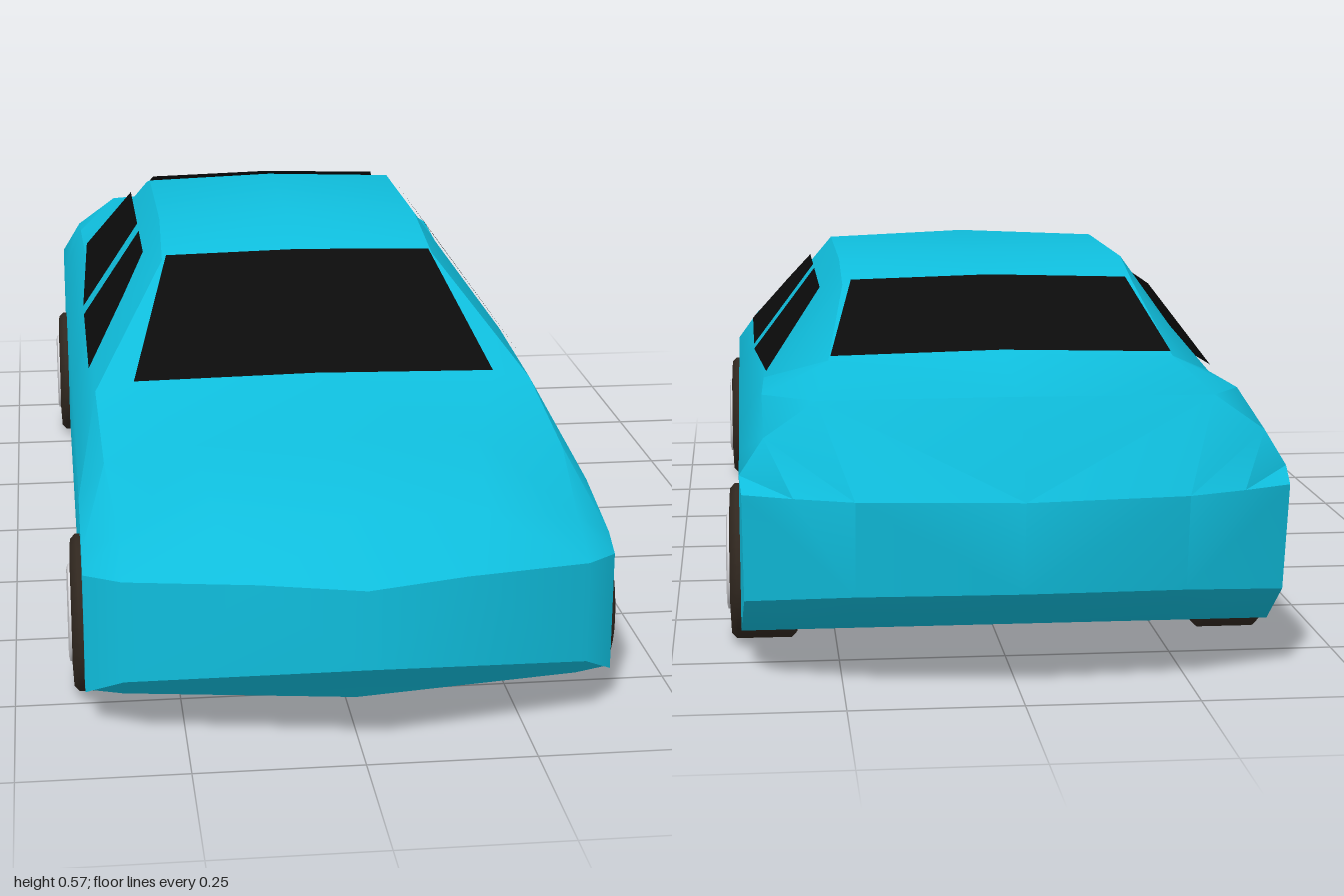
import * as THREE from 'three';
import { toCreasedNormals } from 'three/addons/utils/BufferGeometryUtils.js';

const material = (name, color, side = THREE.FrontSide) => {
  const m = new THREE.MeshStandardMaterial({ color, side });
  m.name = name;
  return m;
};

function meshOf(name, positions, mat, crease) {
  let g = new THREE.BufferGeometry();
  g.setAttribute('position', new THREE.Float32BufferAttribute(positions.flat(), 3));
  g.computeVertexNormals();
  if (crease) g = toCreasedNormals(g, crease);
  const mesh = new THREE.Mesh(g, mat);
  mesh.name = name;
  return mesh;
}

// Half cross-section: floor centre, floor, sill, belt, shoulder, top edge, top centre
const section = (z, belt, sx, sy, ex, ey, top) => [
  [0, 0.055, z], [0.34, 0.055, z], [0.395, 0.055, z],
  [0.395, belt, z], [sx, sy, z], [ex, ey, z], [0, top, z],
];

function bodyGeometry() {
  const sections = [
    // nose
    [[0, 0.147, 1], [0.34, 0.1, 0.9], [0.395, 0.055, 0.83], [0.395, 0.24, 0.83],
      [0.34, 0.255, 0.9], [0.15, 0.265, 0.956], [0, 0.267, 1]],
    [[0, 0.055, 0.89], [0.34, 0.055, 0.84], [0.395, 0.055, 0.82], [0.395, 0.26, 0.79],
      [0.34, 0.295, 0.82], [0.2, 0.32, 0.845], [0, 0.327, 0.86]],
    // bonnet, windscreen, roof and rear window
    section(0.64, 0.29, 0.355, 0.345, 0.22, 0.368, 0.372),
    section(0.37, 0.31, 0.36, 0.375, 0.3, 0.384, 0.388),
    section(0.12, 0.31, 0.358, 0.39, 0.235, 0.53, 0.537),
    section(-0.04, 0.31, 0.355, 0.39, 0.23, 0.565, 0.575),
    section(-0.38, 0.31, 0.355, 0.39, 0.23, 0.563, 0.571),
    section(-0.5, 0.31, 0.355, 0.39, 0.23, 0.535, 0.542),
    section(-0.69, 0.31, 0.36, 0.395, 0.26, 0.445, 0.452),
    // boot lid edge and tail
    [[0, 0.055, -0.77], [0.235, 0.055, -0.77], [0.395, 0.055, -0.77], [0.395, 0.31, -0.87],
      [0.36, 0.365, -0.88], [0.285, 0.418, -0.885], [0, 0.427, -0.93]],
    [[0, 0.155, -0.98], [0.235, 0.15, -0.955], [0.39, 0.13, -0.885], [0.392, 0.29, -0.91],
      [0.32, 0.29, -0.943], [0.235, 0.29, -0.975], [0, 0.29, -1]],
  ];
  const tris = [];
  const add = (a, b, c) => {
    const flip = ([x, y, z]) => [-x, y, z];
    tris.push(...a, ...b, ...c, ...flip(a), ...flip(c), ...flip(b));
  };
  for (let i = 0; i < sections.length - 1; i++) {
    const s = sections[i], t = sections[i + 1];
    for (let j = 0; j < 6; j++) {
      add(s[j], t[j], t[j + 1]);
      add(s[j], t[j + 1], s[j + 1]);
    }
  }
  // front and rear faces
  const first = sections[0], last = sections[sections.length - 1];
  for (const [a, b, c] of [[0, 1, 5], [0, 5, 6], [1, 4, 5], [1, 2, 3], [1, 3, 4]]) {
    add(first[a], first[b], first[c]);
    add(last[a], last[c], last[b]);
  }
  return tris;
}

// Fan of triangles over a convex outline
const fan = (pts) => pts.slice(2).flatMap((p, i) => [...pts[0], ...pts[i + 1], ...p]);

export function createModel() {
  const car = new THREE.Group();
  car.name = 'car';
  const paint = material('cyan paint', 0x0fbddc);
  const glass = material('black glass', 0x0b0b0b, THREE.DoubleSide);
  const rubber = material('dark rubber', 0x30271f);
  const metal = material('light metal', 0xd2d2d6);

  car.add(meshOf('body', bodyGeometry(), paint, 0.62));

  // Windscreen and rear window, each split at the centre crown
  const screen = (name, bx, by, bz, tx, ty, tz, crown) => {
    const half = (s) => fan([[0, by + crown, bz], [s * bx, by, bz], [s * tx, ty, tz], [0, ty + crown, tz]]);
    car.add(meshOf(name, [...half(1), ...half(-1)], glass));
  };
  screen('windscreen', 0.297, 0.391, 0.372, 0.228, 0.539, 0.122, 0.005);
  screen('rearWindow', 0.257, 0.452, -0.692, 0.217, 0.544, -0.506, 0.006);

  // Side windows as [z, y] outlines leaning in with the cabin
  const sideWindows = {
    FrontWindow: [[0.26, 0.382], [0.13, 0.472], [0.04, 0.526], [-0.12, 0.526], [-0.082, 0.382]],
    RearWindow: [[-0.138, 0.382], [-0.178, 0.526], [-0.45, 0.526], [-0.53, 0.405]],
  };
  for (const [side, s] of [['left', 1], ['right', -1]]) {
    for (const [name, outline] of Object.entries(sideWindows)) {
      const pts = outline.map(([z, y]) => [s * (0.362 - (y - 0.39) * 0.72), y, z]);
      car.add(meshOf(side + name, fan(pts), glass));
    }
  }

  // Wheels: closed lathe rings turned about x
  const ring = (name, profile, mat) => {
    const pts = profile.map(([r, h]) => new THREE.Vector2(r, h));
    const g = toCreasedNormals(new THREE.LatheGeometry(pts, 32), 0.8);
    const mesh = new THREE.Mesh(g, mat);
    mesh.name = name;
    return mesh;
  };
  const makeWheel = (name) => {
    const wheel = new THREE.Group();
    wheel.name = name;
    wheel.add(
      ring('tyre', [[0, -0.05], [0.112, -0.05], [0.12, -0.042], [0.12, 0.042],
        [0.112, 0.05], [0.074, 0.052], [0.074, 0.03]], rubber),
      ring('rim', [[0.076, 0.04], [0.074, 0.055], [0.066, 0.057], [0.046, 0.05], [0.04, 0.036]], metal),
    );
    const hub = new THREE.Mesh(new THREE.CylinderGeometry(0.042, 0.042, 0.02, 32), paint);
    hub.name = 'hub';
    hub.position.y = 0.03;
    wheel.add(hub);
    return wheel;
  };
  for (const [side, s] of [['Left', 1], ['Right', -1]]) {
    for (const [end, z] of [['front', 0.68], ['rear', -0.6]]) {
      const wheel = makeWheel(end + side + 'Wheel');
      wheel.rotation.z = -s * Math.PI / 2;
      wheel.position.set(s * 0.36, 0.12, z);
      car.add(wheel);
    }
  }
  return car;
}
